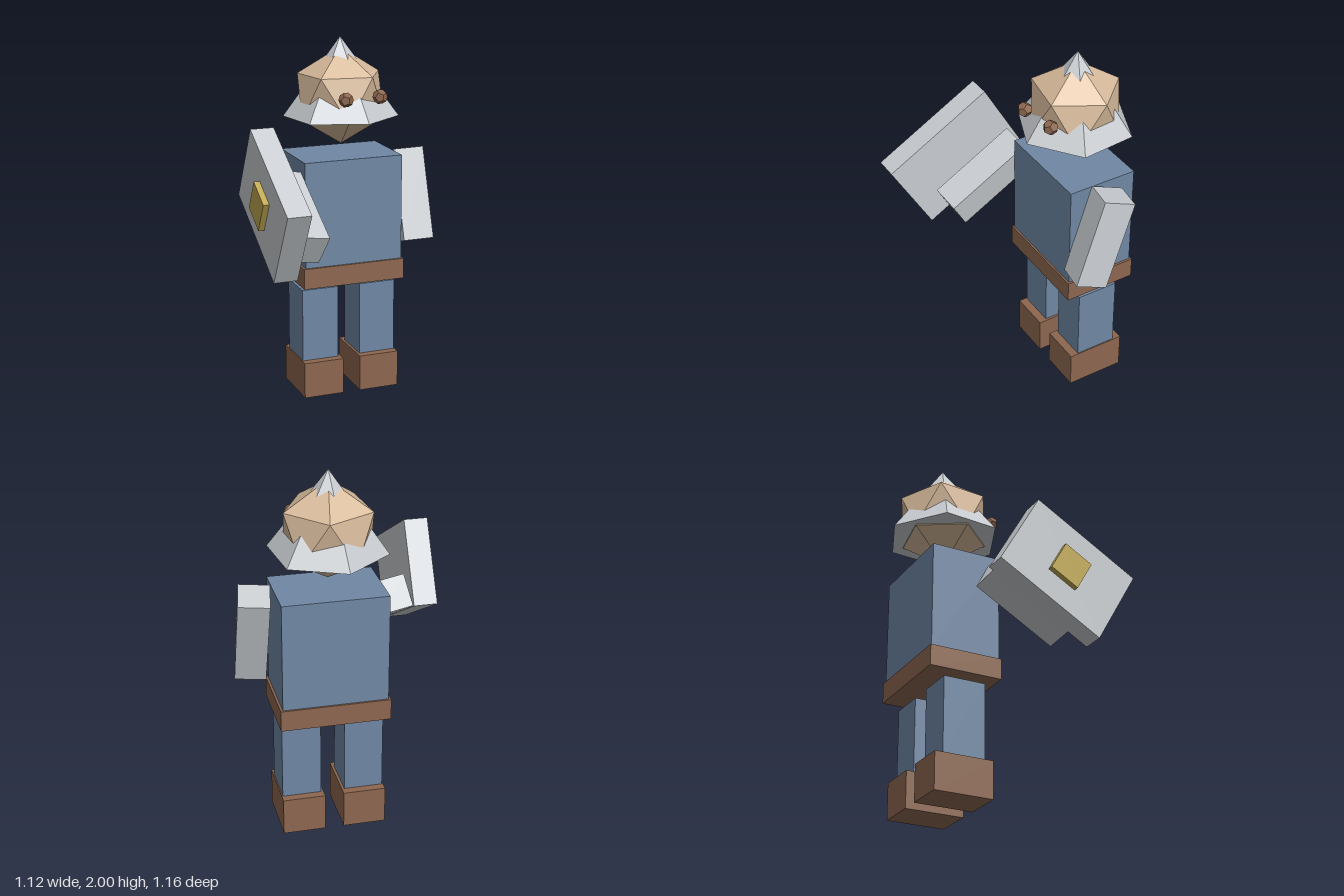
import * as THREE from 'three';

const mat = (name, color) => {
  const m = new THREE.MeshStandardMaterial({ color, flatShading: true });
  m.name = name;
  return m;
};

export function createModel() {
  const blue = mat('cloth blue', 0x6f87a4);
  const brown = mat('leather brown', 0x8d674f);
  const grey = mat('metal grey', 0xc8ccd0);
  const skin = mat('skin tan', 0xd8bb9c);
  const gold = mat('gold', 0xc0a850);

  const model = new THREE.Group();
  model.name = 'figure';

  const add = (parent, name, geometry, material, x, y, z) => {
    const mesh = new THREE.Mesh(geometry, material);
    mesh.name = name;
    mesh.position.set(x, y, z);
    parent.add(mesh);
    return mesh;
  };
  const box = (parent, name, material, size, pos) =>
    add(parent, name, new THREE.BoxGeometry(...size), material, ...pos);

  // Body axis
  const cx = 0.075, cz = -0.26;

  // Torso and belt
  box(model, 'torso', blue, [0.565, 0.59, 0.39], [cx, 1.065, cz]);
  box(model, 'belt', brown, [0.59, 0.115, 0.41], [cx, 0.712, cz]);

  // Legs and boots
  for (const [side, s] of [['left', 1], ['right', -1]]) {
    box(model, side + 'Leg', blue, [0.21, 0.415, 0.235], [cx + s * 0.17, 0.4125, cz]);
    box(model, side + 'Boot', brown, [0.23, 0.205, 0.33], [cx + s * 0.166, 0.1025, cz]);
  }

  // Arms: the left hangs, the right is raised forward
  const armSize = [0.167, 0.513, 0.177];
  box(model, 'leftArm', grey, armSize, [0.46, 1.1, -0.18]).rotation.set(-0.317, -0.18, 0);
  box(model, 'rightArm', grey, armSize, [-0.307, 1.11, 0.057]).rotation.set(-1.055, 0.18, 0);

  // Shield with a gold boss on its outer face
  const shield = new THREE.Group();
  shield.name = 'shield';
  shield.position.set(-0.467, 1.219, 0.178);
  shield.rotation.x = -1.055;
  box(shield, 'shieldPlate', grey, [0.128, 0.668, 0.463], [0, 0, 0]);
  box(shield, 'shieldBoss', gold, [0.04, 0.177, 0.182], [-0.076, 0, 0]);
  model.add(shield);

  // Head, turned a little to its left
  const head = new THREE.Group();
  head.name = 'head';
  head.position.set(0.074, 1.677, -0.265);
  head.rotation.set(-0.025, 0.13, 0);
  model.add(head);

  // Icosahedron stood on one of its corners
  const skull = new THREE.IcosahedronGeometry(0.267, 0);
  skull.rotateZ(-Math.atan(2 / (1 + Math.sqrt(5))));
  add(head, 'face', skull, skin, 0, 0, 0);

  // Six-sided pointed hat that the face breaks through
  add(head, 'hat', new THREE.ConeGeometry(0.318, 0.437, 6), grey, 0, 0.1045, 0);

  // Eyes
  for (const [side, s] of [['left', 1], ['right', -1]]) {
    add(head, side + 'Eye', new THREE.DodecahedronGeometry(0.041, 0), brown, s * 0.104, 0.017, 0.252);
  }

  return model;
}
